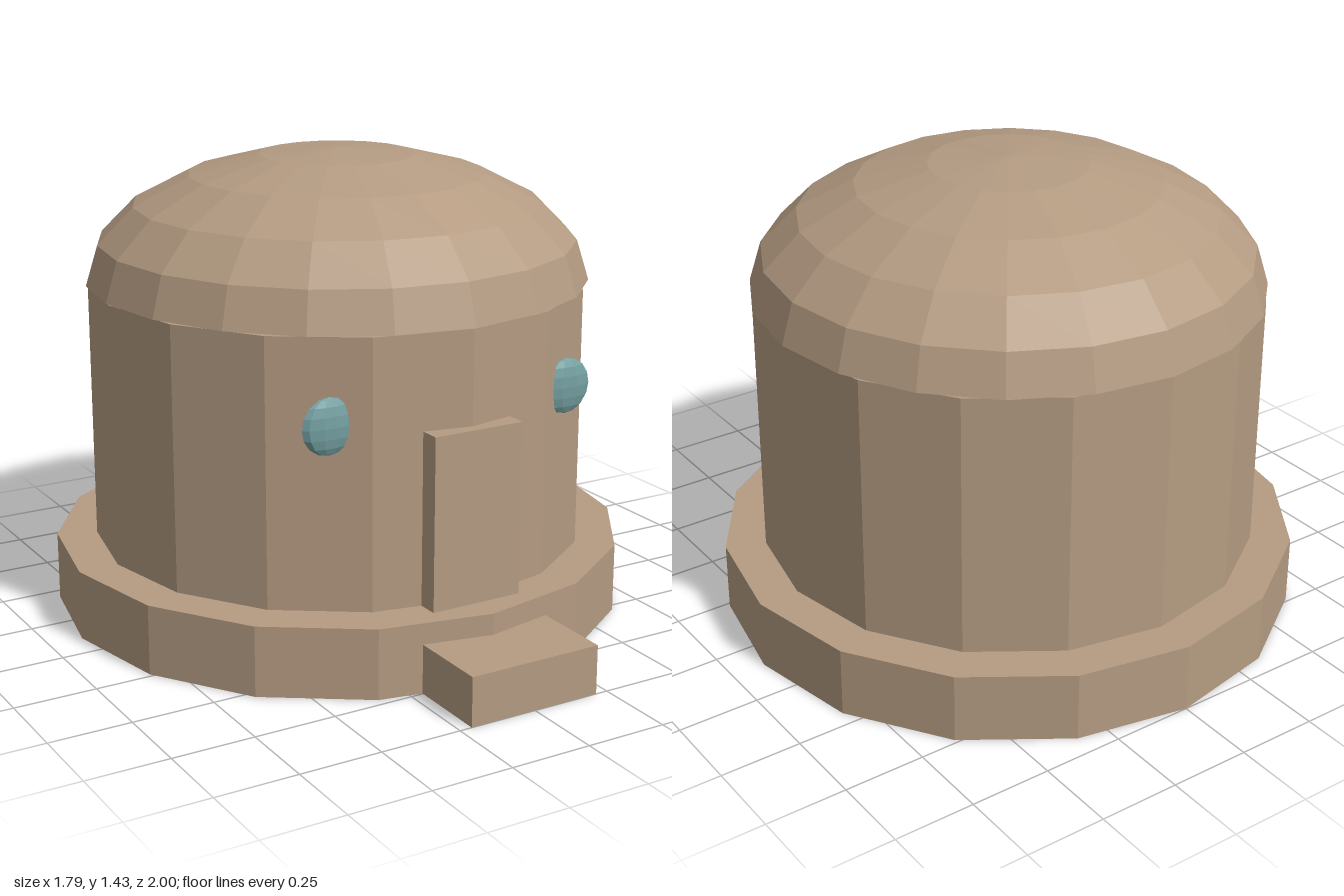
import * as THREE from 'three';

export function createModel() {
  const group = new THREE.Group();
  const clay = new THREE.MeshStandardMaterial({ color: 0xb49b82, flatShading: true });
  clay.name = 'clay';
  const glass = new THREE.MeshStandardMaterial({ color: 0x74a0a2, flatShading: true });
  glass.name = 'teal glass';
  const axisZ = -0.105; // centre line of the round tower

  const add = (name, geometry, material, x, y, z) => {
    const mesh = new THREE.Mesh(geometry, material);
    mesh.name = name;
    mesh.position.set(x, y, z);
    group.add(mesh);
    return mesh;
  };

  // Round plinth and wall, both sixteen-sided
  add('plinth', new THREE.CylinderGeometry(0.895, 0.895, 0.215, 16), clay, 0, 0.1075, axisZ);
  add('wall', new THREE.CylinderGeometry(0.77, 0.77, 0.83, 16), clay, 0, 0.61, axisZ);

  // Flattened dome roof with a closed underside
  const dome = new THREE.SphereGeometry(0.778, 20, 5, 0, Math.PI * 2, 0, Math.PI / 2);
  dome.scale(1, 0.4 / 0.778, 1);
  add('domeRoof', dome, clay, 0, 1.03, axisZ);
  const soffit = new THREE.CircleGeometry(0.778, 20);
  soffit.rotateX(Math.PI / 2);
  add('roofUnderside', soffit, clay, 0, 1.03, axisZ);

  // Door slab and entrance step
  add('door', new THREE.BoxGeometry(0.294, 0.6, 0.1), clay, 0, 0.44, 0.65);
  add('step', new THREE.BoxGeometry(0.424, 0.15, 0.3), clay, 0, 0.075, 0.85);

  // Pair of lens-shaped windows
  for (const side of [-1, 1]) {
    const lens = new THREE.SphereGeometry(1, 10, 8);
    lens.scale(0.085, 0.085, 0.026);
    add(side > 0 ? 'leftWindow' : 'rightWindow', lens, glass, side * 0.405, 0.773, 0.552);
  }
  return group;
}
